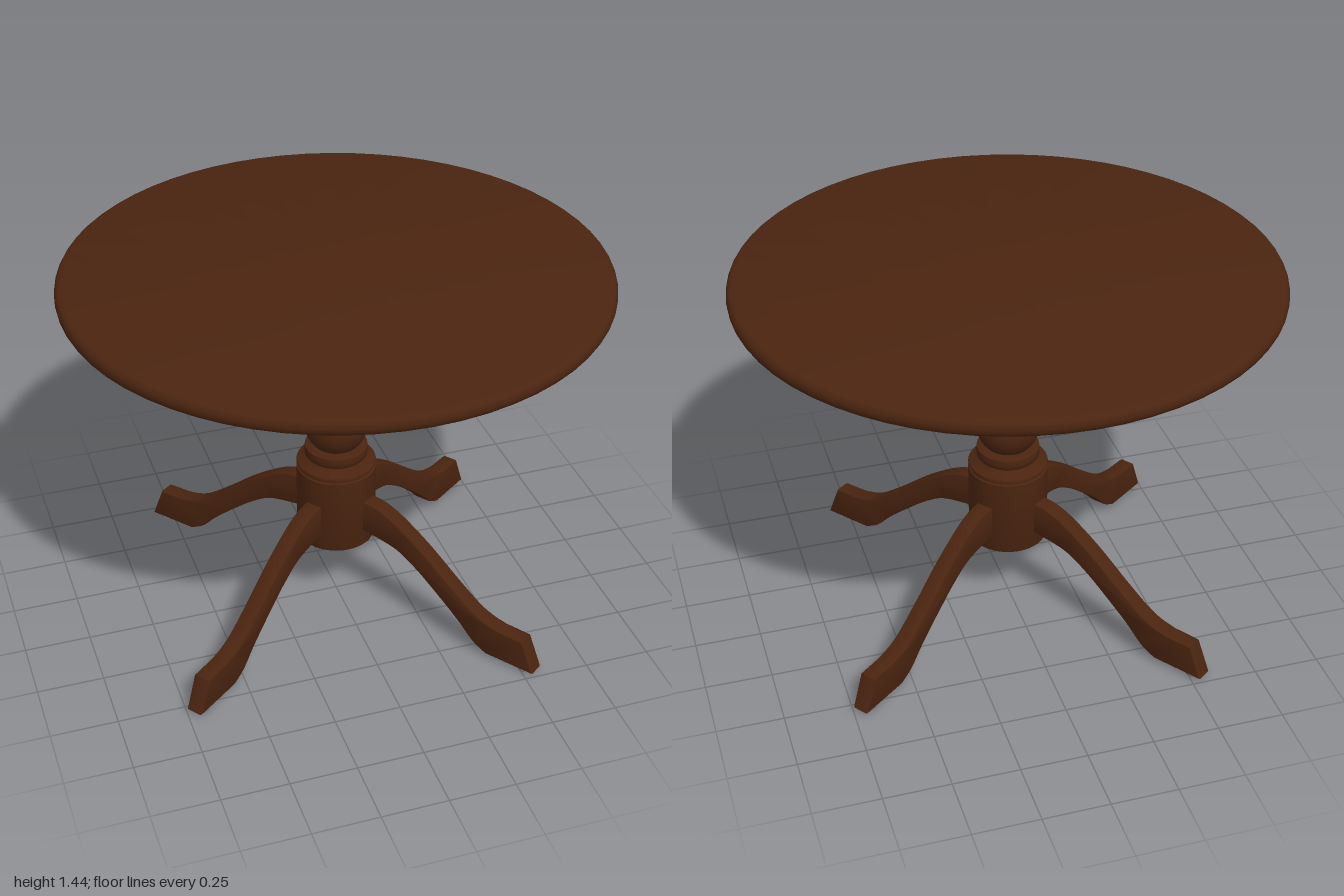
import * as THREE from 'three';
import { toCreasedNormals } from 'three/addons/utils/BufferGeometryUtils.js';

const wood = new THREE.MeshStandardMaterial({ name: 'darkWood', color: 0x4a2410 });
const metal = new THREE.MeshStandardMaterial({ name: 'greyMetal', color: 0x777777 });

const v = ([x, y]) => new THREE.Vector2(x, y);

function mesh(name, geometry, material) {
  const m = new THREE.Mesh(geometry, material);
  m.name = name;
  return m;
}

function turned(name, profile, segments = 48) {
  const g = new THREE.LatheGeometry(profile.map(v), segments);
  return mesh(name, toCreasedNormals(g, 0.6), wood);
}

// Arc of a turned ball between two heights
function ball(cy, halfHeight, radius, steps = 10) {
  const pts = [];
  for (let i = 0; i <= steps; i++) {
    const y = -halfHeight + (2 * halfHeight * i) / steps;
    pts.push([Math.sqrt(radius * radius - y * y), cy + y]);
  }
  return pts;
}

// Curved leg, side outline extruded to its width, running along +x
function legGeometry() {
  const s = new THREE.Shape();
  s.moveTo(0.1, 0.36);
  s.lineTo(0.16, 0.36);
  s.splineThru([[0.29, 0.335], [0.38, 0.285], [0.47, 0.215], [0.575, 0.125], [0.65, 0.05], [0.71, 0.016]].map(v));
  s.lineTo(0.913, 0.012);
  s.lineTo(0.862, 0.14);
  s.lineTo(0.76, 0.145);
  s.splineThru([[0.7, 0.16], [0.64, 0.19], [0.54, 0.265], [0.41, 0.37], [0.29, 0.45], [0.21, 0.485], [0.15, 0.493]].map(v));
  s.lineTo(0.1, 0.493);
  const g = new THREE.ExtrudeGeometry(s, {
    depth: 0.054, curveSegments: 28, bevelEnabled: true,
    bevelThickness: 0.006, bevelSize: 0.006, bevelOffset: -0.006, bevelSegments: 2,
  });
  g.translate(0, 0, -0.027);
  return toCreasedNormals(g, 0.5);
}

export function createModel() {
  const table = new THREE.Group();
  table.name = 'pedestalTable';

  // Round top with softened rim
  const rim = [];
  for (let i = 0; i <= 8; i++) {
    const a = -Math.PI / 2 + (Math.PI * i) / 8;
    rim.push([0.975 + 0.025 * Math.cos(a), 1.407 + 0.031 * Math.sin(a)]);
  }
  table.add(turned('tableTop', [[0, 1.376], ...rim, [0, 1.438]], 64));

  // Mounting disc under the top
  table.add(turned('mountingDisc', [[0, 1.345], [0.308, 1.345], [0.308, 1.377], [0, 1.377]]));

  // Turned column
  table.add(turned('column', [
    [0, 0.286], [0.138, 0.286], [0.147, 0.292], [0.152, 0.305], [0.152, 0.603],
    [0.146, 0.607], [0.146, 0.618], [0.152, 0.622], [0.15, 0.628], [0.125, 0.638], [0.113, 0.65],
    [0.119, 0.658], [0.121, 0.675], [0.119, 0.693], [0.108, 0.698], [0.085, 0.7],
    ...ball(0.786, 0.087, 0.121),
    [0.084, 0.876],
    ...ball(0.966, 0.087, 0.121),
    [0.085, 1.055], [0.118, 1.056], [0.121, 1.08], [0.124, 1.112], [0.14, 1.116], [0.146, 1.125],
    [0.142, 1.134], [0.158, 1.137], [0.158, 1.148], [0.15, 1.152], [0.163, 1.156],
    [0.167, 1.167], [0.163, 1.178], [0.153, 1.182], [0.153, 1.346],
  ]));

  // Four legs with floor glides, and screws in the disc
  const leg = legGeometry();
  const glide = new THREE.CylinderGeometry(0.027, 0.027, 0.016, 20);
  const screw = new THREE.CylinderGeometry(0.02, 0.013, 0.014, 16);
  for (let i = 0; i < 4; i++) {
    const legGroup = new THREE.Group();
    legGroup.name = 'leg' + (i + 1);
    legGroup.rotation.y = THREE.MathUtils.degToRad(37.2 - 90 + 90 * i);
    const pad = mesh('floorGlide', glide, metal);
    pad.position.set(0.865, 0.008, 0);
    const head = mesh('discScrew', screw, metal);
    head.position.set(0.25, 1.339, 0);
    legGroup.add(mesh('curvedLeg', leg, wood), pad, head);
    table.add(legGroup);
  }
  return table;
}
